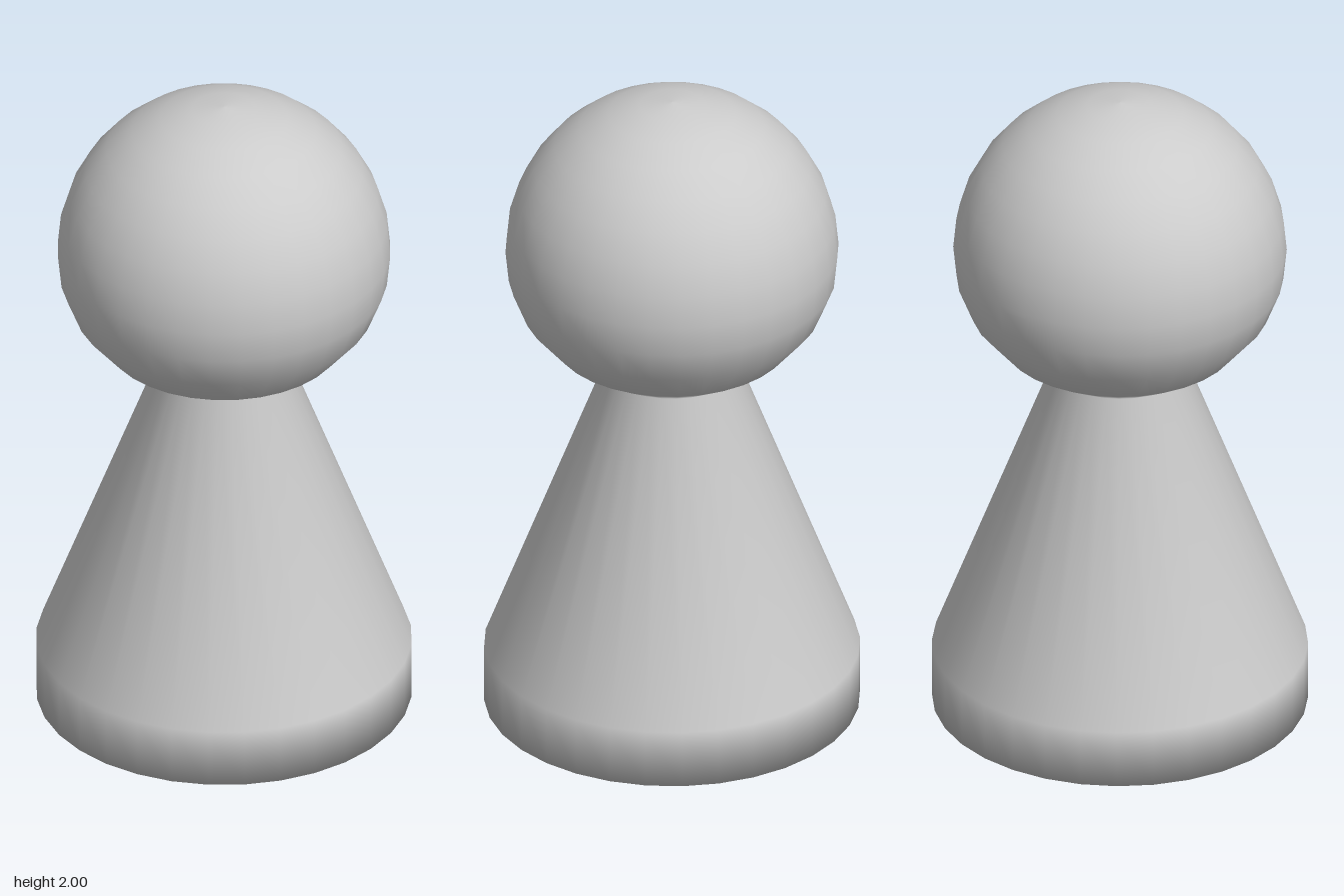
import * as THREE from 'three';

export function createModel() {
  const group = new THREE.Group();
  group.name = 'pawn';

  // Base, flared body, neck and underside of the head, from bottom to top
  const profile = [
    [0, 0], [0.555, 0], [0.555, 0.18], [0.2, 1.11],
    [0.35, 1.2], [0.44, 1.305], [0.482, 1.41],
  ].map(([x, y]) => new THREE.Vector2(x, y));

  // Upper part of the round head
  const radius = 0.492, centre = 1.508, steps = 8;
  for (let i = 0; i <= steps; i++) {
    const a = (i / steps) * Math.PI / 2;
    const x = i === steps ? 0 : radius * Math.cos(a);
    profile.push(new THREE.Vector2(x, centre + radius * Math.sin(a)));
  }

  // One smooth turned surface
  const body = new THREE.Mesh(
    new THREE.LatheGeometry(profile, 32),
    new THREE.MeshStandardMaterial({ color: 0xcccccc }),
  );
  body.name = 'turnedBody';
  group.add(body);
  return group;
}
